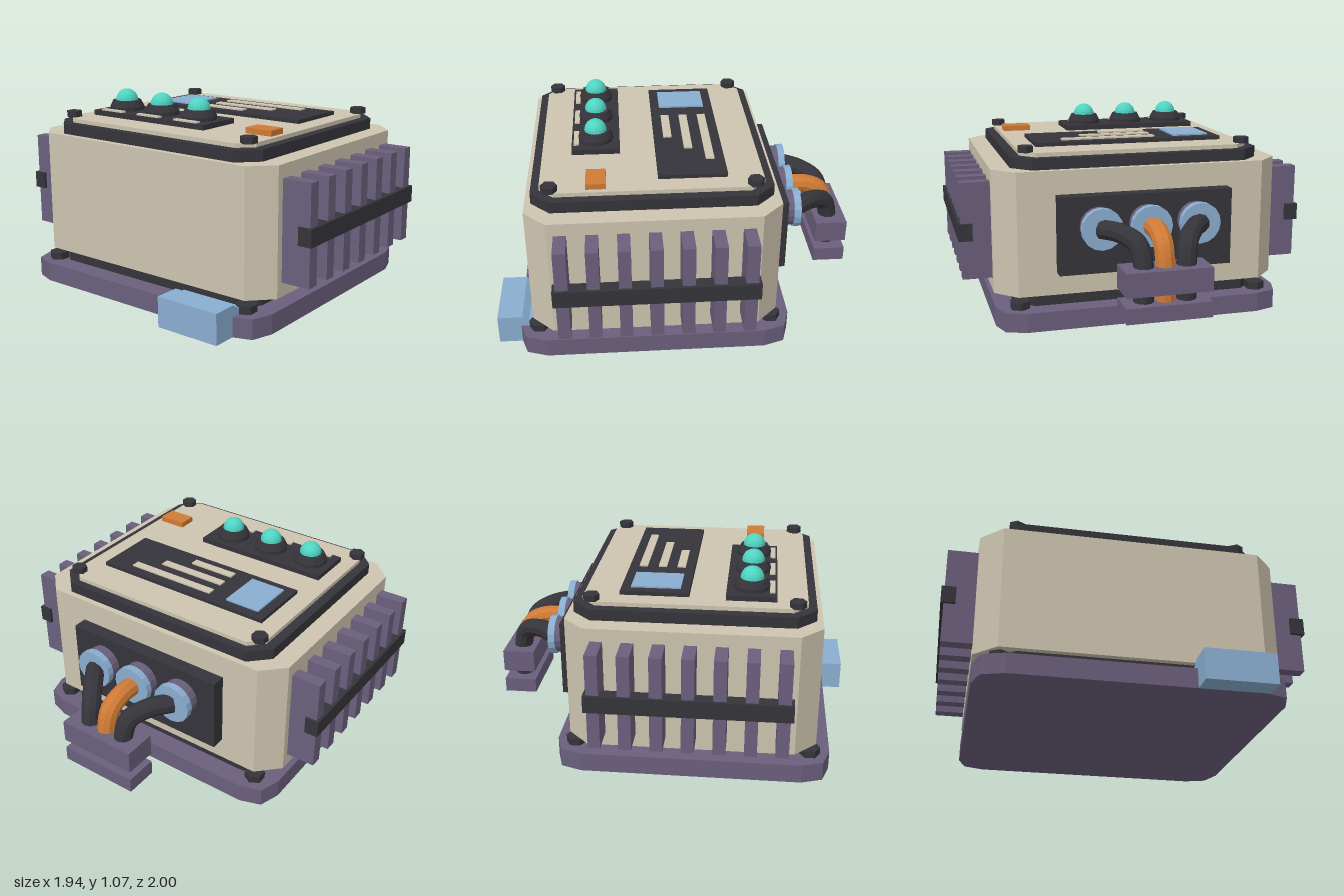
import * as THREE from 'three';

const mat = (name, color, flatShading = true) => {
  const m = new THREE.MeshStandardMaterial({ color });
  m.name = name;
  m.flatShading = flatShading;
  return m;
};

export function createModel() {
  const beige = mat('beige shell', 0xcdc4af);
  const purple = mat('purple metal', 0x6a5f7c);
  const dark = mat('dark rubber', 0x35343a);
  const blue = mat('pale blue', 0x8aaed0);
  const orange = mat('orange', 0xcf7a35);
  const teal = mat('teal lamp', 0x4fd4c2);

  const model = new THREE.Group();
  const CZ = 0.143; // depth centre of the housing

  const add = (name, geometry, material, x = 0, y = 0, z = 0) => {
    const mesh = new THREE.Mesh(geometry, material);
    mesh.name = name;
    mesh.position.set(x, y, z);
    model.add(mesh);
    return mesh;
  };

  // Box given by its limits on each axis
  const box = (name, material, [x0, x1], [y0, y1], [z0, z1]) =>
    add(name, new THREE.BoxGeometry(x1 - x0, y1 - y0, z1 - z0), material,
      (x0 + x1) / 2, (y0 + y1) / 2, (z0 + z1) / 2);

  // Upright slab with cut corners, or corners rounded in two steps
  const slab = (name, material, hx, hz, cut, y0, y1, rounded = false) => {
    const s = new THREE.Shape();
    const corners = [[1, 1], [-1, 1], [-1, -1], [1, -1]];
    corners.forEach(([sx, sz], i) => {
      const alongX = [sx * (hx - cut), sz * hz];
      const alongZ = [sx * hx, sz * (hz - cut)];
      const [a, b] = i % 2 === 0 ? [alongZ, alongX] : [alongX, alongZ];
      if (i === 0) s.moveTo(...a); else s.lineTo(...a);
      if (rounded) s.quadraticCurveTo(sx * hx, sz * hz, ...b);
      else s.lineTo(...b);
    });
    s.closePath();
    const g = new THREE.ExtrudeGeometry(s, { depth: y1 - y0, bevelEnabled: false, curveSegments: 2 });
    g.rotateX(-Math.PI / 2);
    return add(name, g, material, 0, y0, CZ);
  };

  // Housing stack
  slab('base', purple, 0.793, 0.737, 0.15, 0, 0.105, true);
  slab('lowerGasket', dark, 0.688, 0.628, 0.1, 0.105, 0.17);
  slab('body', beige, 0.793, 0.661, 0.115, 0.17, 0.84);
  slab('upperGasket', dark, 0.688, 0.628, 0.1, 0.84, 0.9);
  slab('lid', beige, 0.635, 0.583, 0.075, 0.9, 0.922);

  // Hex bolts on the lid and base corners
  for (const sx of [-1, 1]) for (const sz of [-1, 1]) {
    add('lidBolt', new THREE.CylinderGeometry(0.043, 0.043, 0.034, 6), dark, sx * 0.605, 0.938, CZ + sz * 0.528);
    add('baseBolt', new THREE.CylinderGeometry(0.055, 0.055, 0.04, 6), dark, sx * 0.668, 0.125, CZ + sz * 0.63);
  }

  // Cooling fins tied by a bar on each side
  for (const s of [-1, 1]) {
    for (let i = -3; i <= 3; i++) {
      add('coolingFin', new THREE.BoxGeometry(0.17, 0.525, 0.065), purple, s * 0.867, 0.508, CZ + i * 0.159);
    }
    add('finBar', new THREE.BoxGeometry(0.075, 0.092, 1.05), dark, s * 0.93, 0.504, CZ);
  }

  // Display panel with screen and label strips
  box('displayPanel', dark, [-0.53, 0.527], [0.92, 0.943], [-0.25, 0.113]);
  box('screen', blue, [-0.475, -0.27], [0.943, 0.952], [-0.198, 0.064]);
  [[0.37, -0.173], [0.243, -0.066], [0.11, 0.038]].forEach(([x1, z]) =>
    box('labelStrip', beige, [-0.16, x1], [0.943, 0.951], [z - 0.023, z + 0.023]));

  // Lamp panel with three domed lamps
  box('lampPanel', dark, [-0.555, 0.237], [0.92, 0.95], [0.303, 0.566]);
  const socket = new THREE.LatheGeometry([
    [0.096, 0], [0.096, 0.02], [0.078, 0.055], [0.062, 0.055], [0.055, 0.045], [0, 0.045],
  ].map(([r, y]) => new THREE.Vector2(r, y)), 16);
  const dome = new THREE.SphereGeometry(0.062, 16, 6, 0, Math.PI * 2, 0, Math.PI / 2);
  for (const x of [-0.425, -0.161, 0.103]) {
    add('lampSocket', socket, dark, x, 0.95, 0.434);
    add('lampDome', dome, teal, x, 1.005, 0.434);
    box('lampLabel', beige, [x - 0.08, x + 0.08], [0.95, 0.959], [0.527, 0.555]);
  }

  // Orange push button
  box('button', orange, [0.45, 0.608], [0.92, 0.952], [0.382, 0.487]);

  // Front latch, extruded across x from its side outline
  const outline = new THREE.Shape([
    [0.8, 0], [1, 0], [1, 0.163], [0.865, 0.163], [0.83, 0.137], [0.8, 0.137],
  ].map(([z, y]) => new THREE.Vector2(z, y)));
  const latch = new THREE.ExtrudeGeometry(outline, { depth: 0.368, bevelEnabled: false });
  latch.rotateY(-Math.PI / 2);
  add('frontLatch', latch, blue, 0.66, 0, 0);

  // Rear plate, connectors and cables
  box('rearPlate', dark, [-0.473, 0.473], [0.295, 0.712], [-0.596, -0.51]);
  const ring = (r, length) => new THREE.CylinderGeometry(r, r, length, 16).rotateX(Math.PI / 2);
  for (const s of [-1, 0, 1]) {
    const material = s === 0 ? orange : dark;
    const x = s * 0.265;
    const end = s * 0.112;
    add('connectorCollar', ring(0.1, 0.07), purple, x, 0.555, -0.625);
    add('connectorFlange', ring(0.11, 0.038), blue, x, 0.555, -0.674);
    const path = new THREE.CatmullRomCurve3([
      [x, 0.555, -0.68],
      [s * 0.195, 0.555, -0.775],
      [s * 0.13, 0.513, -0.87],
      [end, 0.41, -0.905],
      [end, 0.28, -0.907],
      [end, 0.14, -0.907],
    ].map((p) => new THREE.Vector3(...p)));
    add('cable', new THREE.TubeGeometry(path, 24, 0.052, 10), material);
    add('cableEnd', new THREE.CircleGeometry(0.052, 10).rotateX(Math.PI / 2), material, end, 0.14, -0.907);
  }

  // Clamps holding the hanging cables
  box('upperClamp', purple, [-0.225, 0.225], [0.285, 0.41], [-1, -0.82]);
  box('lowerClamp', purple, [-0.225, 0.225], [0.15, 0.232], [-1, -0.82]);

  return model;
}
